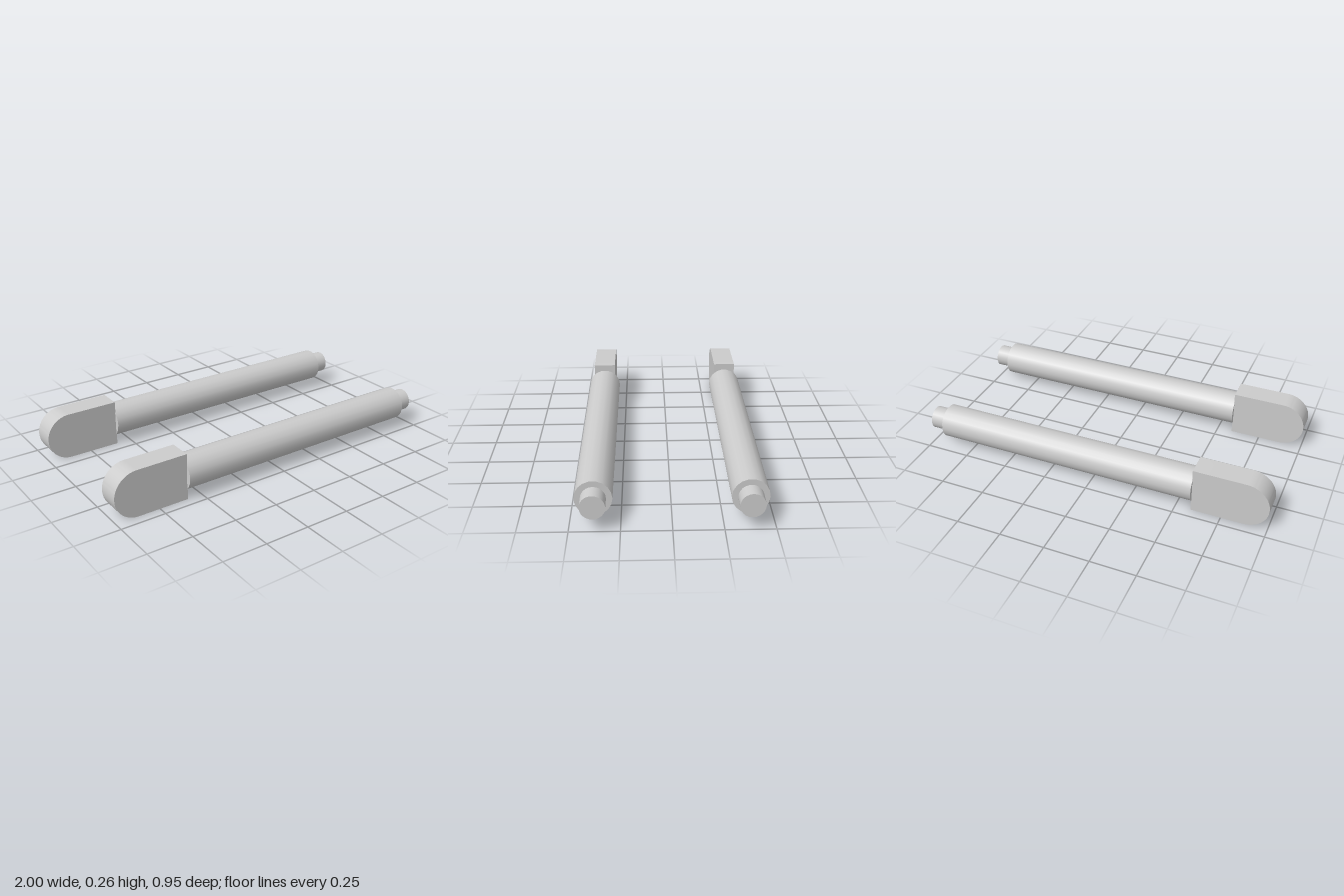
import * as THREE from 'three';
import { toCreasedNormals } from 'three/addons/utils/BufferGeometryUtils.js';

const material = new THREE.MeshStandardMaterial({ color: 0xcccccc });
const AXIS_Y = 0.13;

function addMesh(parent, name, geometry) {
  const mesh = new THREE.Mesh(geometry, material);
  mesh.name = name;
  parent.add(mesh);
}

// Cylinder lying along x between two positions
function rod(radius, x0, x1, sides) {
  return new THREE.CylinderGeometry(radius, radius, x1 - x0, sides)
    .rotateZ(-Math.PI / 2)
    .translate((x0 + x1) / 2, AXIS_Y, 0);
}

// Block with one fully rounded end
function headGeometry() {
  const r = 0.13, depth = 0.128;
  const shape = new THREE.Shape();
  shape.moveTo(-0.585, AXIS_Y - r);
  shape.lineTo(-0.585, AXIS_Y + r);
  shape.lineTo(-1 + r, AXIS_Y + r);
  shape.absarc(-1 + r, AXIS_Y, r, Math.PI / 2, Math.PI * 1.5, false);
  shape.closePath();
  const geometry = new THREE.ExtrudeGeometry(shape, { depth, bevelEnabled: false, curveSegments: 20 });
  geometry.translate(0, 0, -depth / 2);
  return toCreasedNormals(geometry, Math.PI / 5);
}

function createPin(name, z) {
  const pin = new THREE.Group();
  pin.name = name;
  addMesh(pin, 'roundedHead', headGeometry());
  addMesh(pin, 'shaft', rod(0.094, -0.587, 0.91, 18));
  addMesh(pin, 'endStud', rod(0.063, 0.9, 1, 24));
  pin.position.z = z;
  return pin;
}

export function createModel() {
  const model = new THREE.Group();
  model.name = 'pinPair';
  model.add(createPin('frontPin', 0.382), createPin('backPin', -0.382));
  return model;
}
